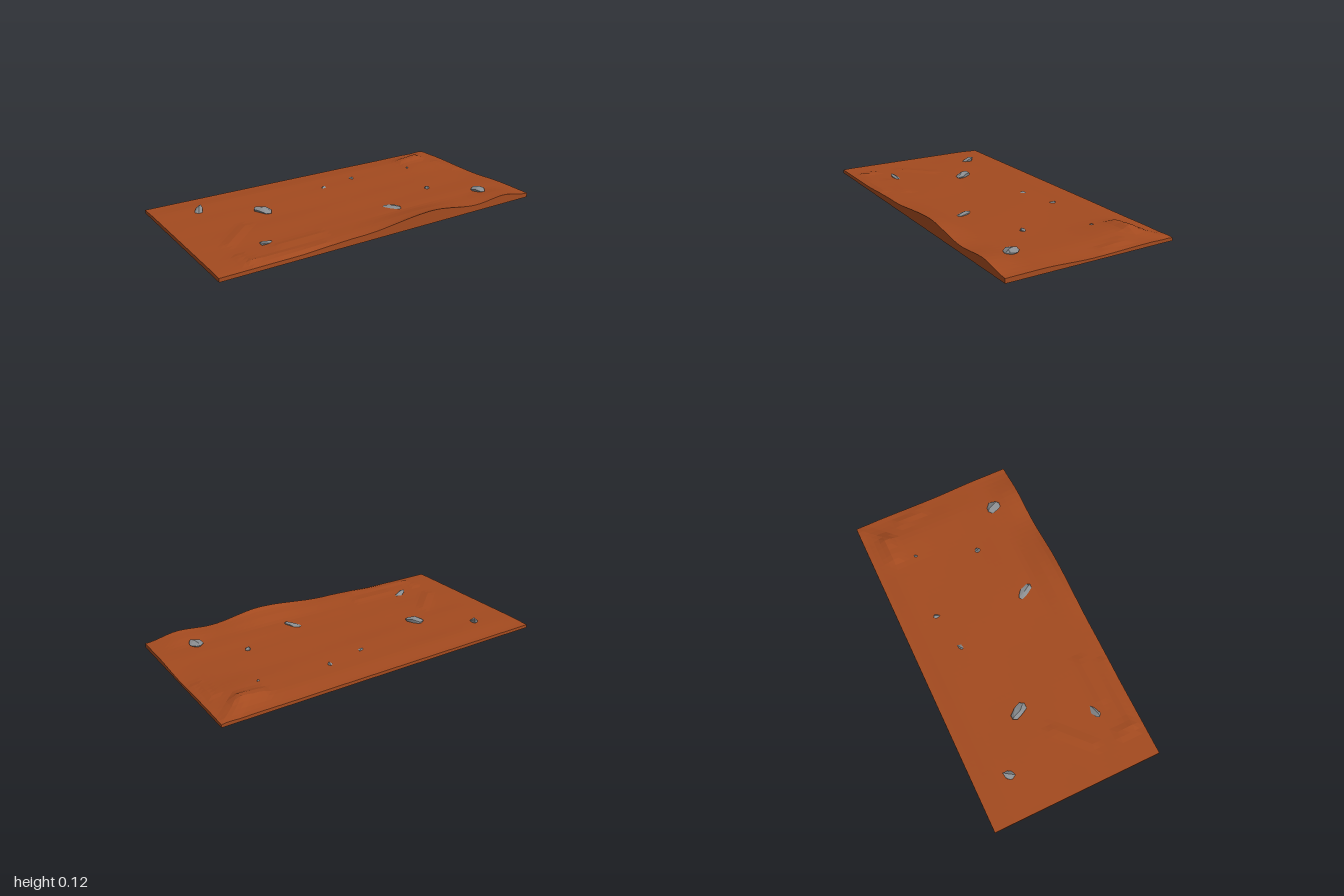
import * as THREE from 'three';
import { ConvexGeometry } from 'three/addons/geometries/ConvexGeometry.js';

const BASE = 0.047;

// Ground heights on a coarse lattice: one row per z, one column per x
const XS = [-1, -0.6, -0.2, 0.27, 0.6, 0.8, 1];
const ZS = [-0.5, -0.36, 0, 0.3, 0.45, 0.5];
const HEIGHTS = [
  [0.066, 0.066, 0.066, 0.066, 0.065, 0.066, 0.062],
  [0.070, 0.074, 0.074, 0.075, 0.075, 0.086, 0.068],
  [0.070, 0.072, 0.073, 0.074, 0.073, 0.073, 0.062],
  [0.070, 0.074, 0.075, 0.079, 0.077, 0.079, 0.074],
  [0.070, 0.079, 0.084, 0.105, 0.083, 0.094, 0.073],
  [0.068, 0.070, 0.085, 0.123, 0.085, 0.101, 0.072],
];

// Sharp folds in the soil: x1, z1, x2, z2, height, width
const FOLDS = [
  [-0.8, 0.19, -0.64, 0.03, 0.006, 0.05],
  [-0.82, 0.36, -0.8, 0.43, 0.008, 0.05],
  [-0.6, 0.35, -0.35, 0.345, 0.006, 0.05],
  [-0.8, 0.44, -0.4, 0.47, 0.006, 0.04],
  [0.72, -0.36, 0.83, -0.36, 0.018, 0.06],
  [0.83, -0.36, 0.96, -0.47, 0.01, 0.06],
  [0.92, -0.24, 0.95, -0.1, 0.008, 0.05],
];

function seeded(seed) {
  return () => {
    seed = (seed * 16807) % 2147483647;
    return seed / 2147483647;
  };
}

function locate(list, v) {
  let i = 0;
  while (i < list.length - 2 && v > list[i + 1]) i++;
  const t = THREE.MathUtils.clamp((v - list[i]) / (list[i + 1] - list[i]), 0, 1);
  return [i, t * t * (3 - 2 * t)];
}

function groundHeight(x, z) {
  const [i, tx] = locate(XS, x);
  const [j, tz] = locate(ZS, z);
  const row = (k) => THREE.MathUtils.lerp(HEIGHTS[k][i], HEIGHTS[k][i + 1], tx);
  let y = THREE.MathUtils.lerp(row(j), row(j + 1), tz);
  for (const [x1, z1, x2, z2, h, w] of FOLDS) {
    const dx = x2 - x1, dz = z2 - z1;
    const t = THREE.MathUtils.clamp(((x - x1) * dx + (z - z1) * dz) / (dx * dx + dz * dz), 0, 1);
    y += h * Math.max(0, 1 - Math.hypot(x - x1 - t * dx, z - z1 - t * dz) / w);
  }
  // gentle ripples that fade out at the rim
  const inner = Math.min(1, (1 - Math.abs(x)) * 5, (0.5 - Math.abs(z)) * 5);
  return y + 0.0018 * inner * Math.sin(5 * x + 9 * z) * Math.cos(17 * z - 3 * x);
}

// Slab with a flat underside and a sculpted top
function makeGround() {
  const geometry = new THREE.BoxGeometry(2, 1, 1, 60, 1, 32);
  const p = geometry.attributes.position;
  for (let i = 0; i < p.count; i++) {
    p.setY(i, p.getY(i) > 0 ? groundHeight(p.getX(i), p.getZ(i)) : BASE);
  }
  const flat = geometry.toNonIndexed();
  flat.computeVertexNormals();
  const material = new THREE.MeshStandardMaterial({ color: 0xa34a1f, flatShading: true });
  const mesh = new THREE.Mesh(flat, material);
  mesh.name = 'ground';
  return mesh;
}

// Faceted stone stretched from one end point to the other
function makeStone(from, to, width, thickness, seed, material) {
  const rand = seeded(seed);
  const a = new THREE.Vector3(...from), b = new THREE.Vector3(...to);
  const axis = b.clone().sub(a).normalize();
  const side = new THREE.Vector3(0, 1, 0).cross(axis).normalize();
  const up = axis.clone().cross(side);
  const points = [a, b];
  for (const t of [0.12, 0.5, 0.85]) {
    for (let k = 0; k < 5; k++) {
      const angle = (k + rand() * 0.6) / 5 * Math.PI * 2;
      const r = (t === 0.5 ? 0.5 : 0.36) * (0.8 + rand() * 0.4);
      points.push(a.clone().lerp(b, t)
        .addScaledVector(side, Math.cos(angle) * r * width)
        .addScaledVector(up, Math.sin(angle) * r * thickness));
    }
  }
  const mesh = new THREE.Mesh(new ConvexGeometry(points), material);
  mesh.name = 'stone';
  return mesh;
}

// Stones: end, other end, width, thickness
const STONES = [
  [[-0.815, 0.0, -0.225], [-0.735, 0.1, -0.33], 0.06, 0.045],
  [[-0.49, 0.085, -0.15], [-0.43, 0.075, -0.05], 0.07, 0.04],
  [[-0.035, 0.035, -0.185], [0.045, 0.075, -0.25], 0.05, 0.04],
  [[0.255, 0.05, -0.245], [0.265, 0.075, -0.305], 0.035, 0.035],
  [[0.65, 0.05, -0.23], [0.68, 0.08, -0.25], 0.03, 0.03],
  [[0.535, 0.065, 0.11], [0.565, 0.075, 0.11], 0.035, 0.035],
  [[0.15, 0.065, 0.195], [0.21, 0.075, 0.305], 0.06, 0.045],
  [[0.755, 0.085, 0.28], [0.785, 0.085, 0.365], 0.07, 0.045],
  [[-0.685, 0.092, 0.295], [-0.56, 0.035, 0.255], 0.045, 0.035],
];

export function createModel() {
  const model = new THREE.Group();
  model.name = 'rockyGround';
  model.add(makeGround());

  const stones = new THREE.Group();
  stones.name = 'stones';
  const grey = new THREE.MeshStandardMaterial({ color: 0x8a8d90, flatShading: true });
  STONES.forEach(([from, to, w, t], i) => stones.add(makeStone(from, to, w, t, 101 + i * 37, grey)));
  model.add(stones);
  return model;
}
